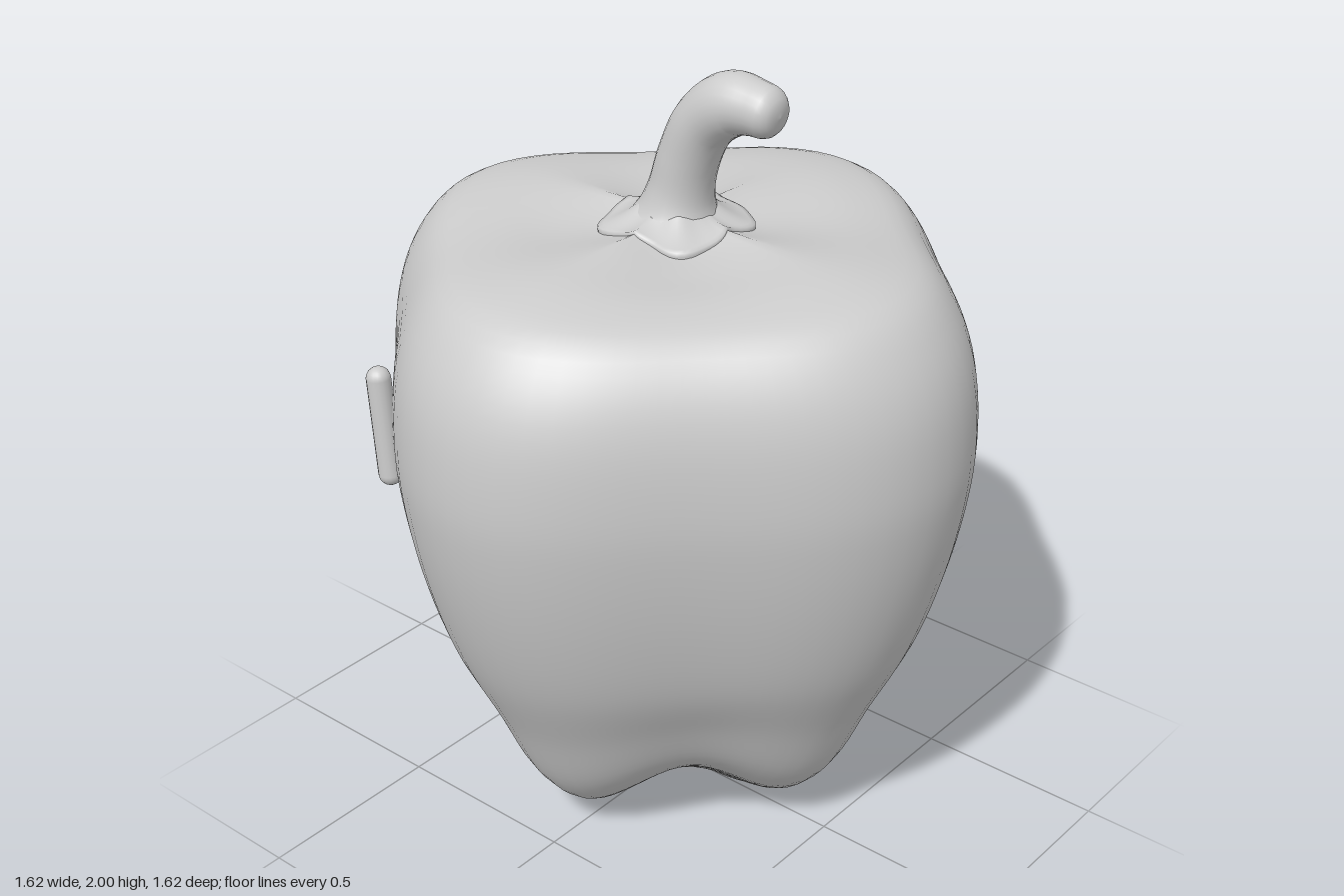
import * as THREE from 'three';

const grey = new THREE.MeshStandardMaterial({ color: 0xcccccc });
grey.name = 'plain grey';

// Skin a stack of closed rings, bottom to top; point(v, angle) gives [x, y, z].
function loft(name, rows, segments, point) {
  const positions = [], index = [];
  for (let i = 0; i <= rows; i++) {
    for (let j = 0; j < segments; j++) {
      positions.push(...point(i / rows, (j / segments) * Math.PI * 2));
    }
  }
  for (let i = 0; i < rows; i++) {
    for (let j = 0; j < segments; j++) {
      const a = i * segments + j, b = i * segments + ((j + 1) % segments);
      index.push(a, a + segments, b, b, a + segments, b + segments);
    }
  }
  const geometry = new THREE.BufferGeometry();
  geometry.setAttribute('position', new THREE.Float32BufferAttribute(positions, 3));
  geometry.setIndex(index);
  geometry.computeVertexNormals();
  const mesh = new THREE.Mesh(geometry, grey);
  mesh.name = name;
  return mesh;
}

const curve = (points) =>
  new THREE.CatmullRomCurve3(points.map((p) => new THREE.Vector3(...p)));

// Body: each profile point is radius, height, and height change in the diagonal valleys.
const bodyProfile = curve([
  [0, 0.015, 0], [0.1, 0.004, 0.045], [0.2, 0.012, 0.09], [0.31, 0.045, 0.13],
  [0.41, 0.1, 0.13], [0.5, 0.2, 0.1], [0.595, 0.4, 0.05], [0.69, 0.6, 0.01],
  [0.755, 0.8, 0], [0.797, 1, 0], [0.81, 1.15, 0], [0.79, 1.34, 0],
  [0.74, 1.46, 0], [0.66, 1.55, -0.01], [0.53, 1.585, -0.018],
  [0.3, 1.598, -0.03], [0.15, 1.604, -0.03], [0, 1.606, 0],
]);

function bodyPoint(v, angle) {
  const p = bodyProfile.getPointAt(v);
  const valley = Math.abs(Math.sin(2 * angle));
  const blend = THREE.MathUtils.smoothstep(p.x, 0.08, 0.5);
  const r = Math.max(p.x, 0) * (1 - 0.136 * valley * valley * blend);
  // Narrow ridges near the centre widen into broad lobes at the rim.
  const y = p.y + p.z * Math.pow(valley, 0.7 + 1.1 * blend);
  return [r * Math.cos(angle), y, r * Math.sin(angle)];
}

// Calyx: a thin scalloped collar draped over the four ridges.
function calyxPoint(v, angle) {
  const valley = Math.abs(Math.sin(2 * angle));
  const edge = 0.172 - 0.017 * Math.cos(4 * angle) + 0.005 * Math.sin(9 * angle);
  const t = v < 0.2 ? 1 : (1 - v) / 0.8;
  const r = edge * (0.45 + 0.55 * t);
  const thickness = v < 0.2 ? -0.012 + 0.1 * v : 0.008 + 0.03 * (1 - t) ** 2;
  const y = 1.604 - 0.028 * Math.pow(valley, 0.8) * t + thickness;
  return [r * Math.cos(angle), y, r * Math.sin(angle)];
}

// Stem: each path point is x, y and radius.
const stemPath = curve([
  [0, 1.585, 0.14], [0.003, 1.615, 0.105], [0.012, 1.67, 0.083], [0.035, 1.76, 0.076],
  [0.085, 1.86, 0.076], [0.165, 1.922, 0.077], [0.235, 1.927, 0.066],
  [0.275, 1.922, 0.06], [0.296, 1.92, 0.042], [0.304, 1.919, 0],
]);

function stemPoint(v, angle) {
  const p = stemPath.getPointAt(v);
  const t = stemPath.getTangentAt(v).setZ(0).normalize();
  const r = Math.max(p.z, 0);
  const side = r * Math.cos(angle);
  return [p.x + side * t.y, p.y - side * t.x, r * Math.sin(angle)];
}

export function createModel() {
  const group = new THREE.Group();
  group.name = 'bellPepper';
  group.add(
    loft('body', 72, 80, bodyPoint),
    loft('calyx', 10, 64, calyxPoint),
    loft('stem', 40, 24, stemPoint),
  );

  // Small slender nub lying on the front right flank.
  const nub = new THREE.Mesh(new THREE.CapsuleGeometry(0.03, 0.25, 8, 16), grey);
  nub.name = 'nub';
  nub.position.set(-0.365, 1.17, 0.655);
  nub.rotation.z = 0.08;
  group.add(nub);
  return group;
}
